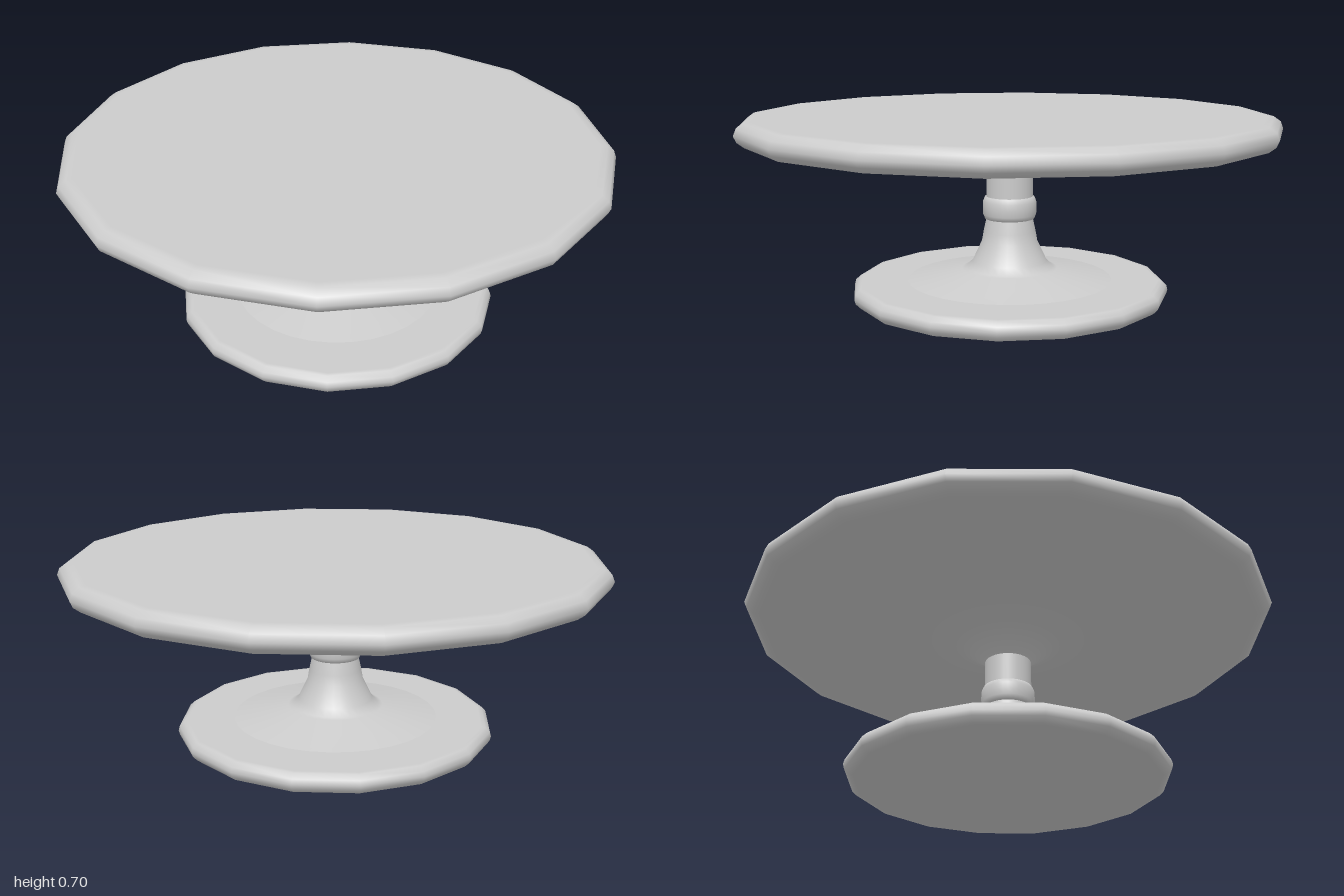
import * as THREE from 'three';

const material = new THREE.MeshStandardMaterial({ color: 0xcccccc });

// Revolved part; profile runs from bottom to top as [radius, height]
function turned(name, profile, sides) {
  const points = profile.map(([r, y]) => new THREE.Vector2(r, y));
  const mesh = new THREE.Mesh(new THREE.LatheGeometry(points, sides), material);
  mesh.name = name;
  return mesh;
}

export function createModel() {
  const group = new THREE.Group();
  group.name = 'pedestalStand';

  // Sixteen-sided foot with a bevelled rim; close rings keep its faces flat
  group.add(turned('foot', [
    [0, 0], [0.56, 0.003], [0.575, 0.005], [0.592, 0.022], [0.597, 0.04],
    [0.592, 0.058], [0.575, 0.074], [0.56, 0.075], [0, 0.078],
  ], 16));

  // Flared lower stem
  group.add(turned('lowerStem', [
    [0.4, 0.073], [0.37, 0.079], [0.18, 0.117], [0.165, 0.122], [0.14, 0.145],
    [0.105, 0.22], [0.098, 0.26], [0.086, 0.315],
  ], 32));

  // Rounded collar around the stem
  group.add(turned('collar', [
    [0.08, 0.305], [0.093, 0.308], [0.1, 0.325], [0.101, 0.35],
    [0.1, 0.373], [0.093, 0.39], [0.08, 0.396],
  ], 32));

  // Straight upper stem
  group.add(turned('upperStem', [[0.088, 0.38], [0.088, 0.515]], 32));

  // Flare supporting the plate
  group.add(turned('plateSupport', [
    [0.088, 0.498], [0.115, 0.525], [0.165, 0.557], [0.215, 0.575],
    [0.29, 0.59], [0.33, 0.597],
  ], 32));

  // Sixteen-sided plate with a shallow underside and a bevelled rim
  group.add(turned('plate', [
    [0, 0.586], [0.3, 0.591], [0.94, 0.61], [0.965, 0.613], [0.99, 0.632],
    [1, 0.655], [0.99, 0.68], [0.965, 0.698], [0.94, 0.7], [0, 0.704],
  ], 16));

  return group;
}
